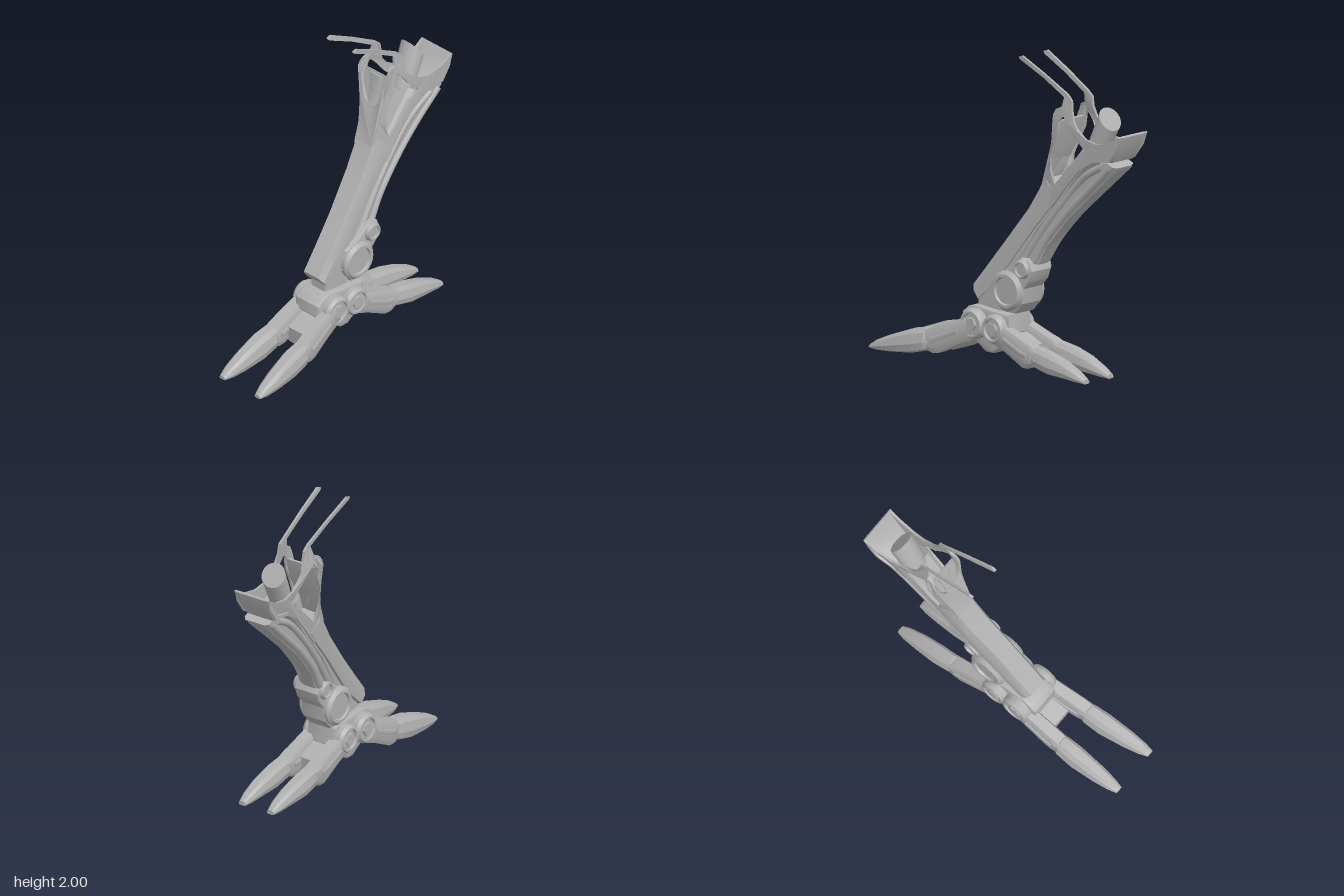
import * as THREE from 'three';
import { toCreasedNormals } from 'three/addons/utils/BufferGeometryUtils.js';

const metal = new THREE.MeshStandardMaterial({ color: 0xb0b0b0, side: THREE.DoubleSide });
metal.name = 'grey metal';

// piecewise linear curve through [t, value] pairs
const curve = (pts) => (t) => {
  if (t <= pts[0][0]) return pts[0][1];
  for (let i = 1; i < pts.length; i++) {
    const [a, va] = pts[i - 1], [b, vb] = pts[i];
    if (t <= b) return va + (vb - va) * (t - a) / (b - a);
  }
  return pts[pts.length - 1][1];
};

// outer sides, front line and front edge inset of the leaning shin, by height
const sideLow = curve([[0.45, -0.1], [0.7, -0.12], [1, -0.16], [1.3, -0.19], [1.5, -0.23], [1.65, -0.25], [1.78, -0.2], [2, -0.23]]);
const sideHigh = curve([[0.45, 0.075], [0.8, 0.045], [1.2, 0.018], [1.5, 0.027], [1.65, 0.025], [1.8, -0.005], [2, 0.015]]);
const frontLine = curve([[1.15, -0.25], [1.26, -0.31], [1.44, -0.365], [1.67, -0.4], [1.73, -0.47]]);
const edgeInset = curve([[1.2, 0.027], [1.5, 0.02], [1.7, 0]]);
// waist of the collar flank, by depth
const waist = curve([[-0.85, 0], [-0.72, 0.012], [-0.58, 0.035], [-0.5, 0.02], [-0.44, 0]]);

const BLOCK = [[0.15, 0], [0.85, 0], [1, 0.2], [1, 0.8], [0.85, 1], [0.15, 1], [0, 0.8], [0, 0.2]];
const SHELL = [[0.14, 0], [0.86, 0], [1, 0.4], [1, 1], [0, 1], [0, 0.4]];
const CLAW = [[0.28, 0], [0.72, 0], [0.9, 0.2], [1, 0.62], [0.92, 0.92], [0.75, 1], [0.25, 1], [0.08, 0.92], [0, 0.62], [0.1, 0.2]];
const ROUND = Array.from({ length: 24 }, (_, i) => {
  const a = i / 24 * Math.PI * 2;
  return [0.5 + Math.cos(a) / 2, 0.5 + Math.sin(a) / 2];
});

// closed loft; each section is [z0, y0, z1, y1, xLow, xHigh]
function loft(sections, ring, crease = 0.5) {
  const pos = [], idx = [], n = ring.length, m = sections.length;
  for (const [z0, y0, z1, y1, xa, xb] of sections)
    for (const [u, v] of ring) pos.push(xa + (xb - xa) * u, y0 + (y1 - y0) * v, z0 + (z1 - z0) * v);
  for (let i = 0; i < m - 1; i++)
    for (let j = 0; j < n; j++) {
      const a = i * n + j, b = i * n + (j + 1) % n;
      idx.push(a, b, b + n, a, b + n, a + n);
    }
  const e = (m - 1) * n;
  for (let j = 1; j < n - 1; j++) idx.push(0, j + 1, j, e, e + j, e + j + 1);
  // turn all faces outward
  const p = (i) => new THREE.Vector3().fromArray(pos, i * 3);
  let volume = 0;
  for (let i = 0; i < idx.length; i += 3) volume += p(idx[i]).dot(p(idx[i + 1]).cross(p(idx[i + 2])));
  if (volume < 0) idx.reverse();
  const g = new THREE.BufferGeometry();
  g.setAttribute('position', new THREE.Float32BufferAttribute(pos, 3));
  g.setIndex(idx);
  return toCreasedNormals(g, crease);
}

// side outline given as [z, y] points, extruded along x
function slab(points, x0, x1, hole, bevel = 0) {
  const v = (list) => list.map(([z, y]) => new THREE.Vector2(-z, y));
  const s = new THREE.Shape(v(points));
  if (hole) s.holes.push(new THREE.Path(v(hole)));
  const g = new THREE.ExtrudeGeometry(s, {
    depth: x1 - x0 - 2 * bevel, bevelEnabled: bevel > 0, bevelSize: bevel, bevelThickness: bevel, bevelOffset: -bevel, bevelSegments: 2,
  });
  return g.rotateY(Math.PI / 2).translate(x0 + bevel, 0, 0);
}

function warp(g, move) {
  const p = g.attributes.position, v = new THREE.Vector3();
  for (let i = 0; i < p.count; i++) {
    move(v.fromBufferAttribute(p, i));
    p.setXYZ(i, v.x, v.y, v.z);
  }
  return toCreasedNormals(g, 0.5);
}

export function createModel() {
  const model = new THREE.Group();
  model.name = 'mechanicalLeg';
  const add = (name, geometry) => {
    const mesh = new THREE.Mesh(geometry, metal);
    mesh.name = name;
    model.add(mesh);
  };
  const leaning = (list, inset) => list.map(([z0, y0, z1, y1]) => {
    const y = (y0 + y1) / 2;
    return [z0, y0, z1, y1, sideLow(y) + inset, sideHigh(y) - inset];
  });

  // shin shell
  add('shin', loft(leaning([
    [0.25, 0.49, 0.19, 0.41], [0.12, 0.65, 0.07, 0.52], [0, 0.8, -0.04, 0.65],
    [-0.18, 1.03, -0.25, 0.92], [-0.26, 1.16, -0.36, 1.05], [-0.305, 1.25, -0.44, 1.16],
  ], 0), SHELL));

  // inner core between shin and calf
  add('core', loft(leaning([
    [0.05, 0.62, -0.1, 0.58], [-0.02, 0.72, -0.14, 0.7], [-0.2, 0.98, -0.28, 0.9], [-0.4, 1.205, -0.47, 1.12],
    [-0.52, 1.36, -0.62, 1.3], [-0.62, 1.48, -0.74, 1.4],
  ], 0.016), BLOCK));

  // pierced side plates with prong, strap and collar flank
  const outline = [
    [-0.27, 1.18], [-0.31, 1.26], [-0.34, 1.35], [-0.365, 1.44], [-0.385, 1.55], [-0.4, 1.67], [-0.42, 1.705], [-0.465, 1.725],
    [-0.475, 1.785], [-0.3, 1.885], [-0.11, 1.975], [-0.1, 1.99], [-0.13, 2], [-0.31, 1.91], [-0.5, 1.805], [-0.54, 1.77],
    [-0.55, 1.7], [-0.57, 1.64], [-0.61, 1.59], [-0.68, 1.545], [-0.76, 1.53], [-0.87, 1.55], [-0.96, 1.6], [-0.94, 1.52],
    [-0.88, 1.43], [-0.74, 1.41], [-0.62, 1.34], [-0.5, 1.21], [-0.38, 1.06],
  ];
  const opening = [
    [-0.41, 1.22], [-0.378, 1.3], [-0.375, 1.38], [-0.41, 1.48], [-0.445, 1.56], [-0.45, 1.63], [-0.48, 1.67],
    [-0.53, 1.615], [-0.58, 1.545], [-0.66, 1.48], [-0.66, 1.46], [-0.58, 1.41], [-0.47, 1.28],
  ];
  const bend = (side, sign, pinch) => (v) => {
    const onEdge = v.y < 1.7 && v.z > frontLine(v.y) - 0.01;
    const flank = v.y > 1.4 && v.y < 1.72 ? pinch * waist(v.z) : 0;
    v.x += side(v.y) + sign * (onEdge ? edgeInset(v.y) : flank);
  };
  add('leftSidePlate', warp(slab(outline, -0.016, 0, opening), bend(sideHigh, -1, 0.3)));
  add('rightSidePlate', warp(slab(outline, 0, 0.016, opening), bend(sideLow, 1, 1)));

  // notched front plate between the prongs
  const heights = [1.2, 1.3, 1.4, 1.5, 1.58, 1.65, 1.71];
  const notch = [
    [-0.2, 1.72], [-0.213, 1.65], [-0.2, 1.56], [-0.165, 1.47], [-0.125, 1.435], [-0.075, 1.435],
    [-0.04, 1.47], [-0.012, 1.56], [-0.003, 1.65], [-0.005, 1.72],
  ];
  const front = [
    ...heights.map((y) => [sideLow(y) + edgeInset(y), y]), ...notch,
    ...heights.map((y) => [sideHigh(y) - edgeInset(y), y]).reverse(),
  ];
  add('frontPlate', warp(
    new THREE.ExtrudeGeometry(new THREE.Shape(front.map(([x, y]) => new THREE.Vector2(x, y))), { depth: 0.02, bevelEnabled: false }),
    (v) => { v.z += frontLine(v.y) - 0.02; }));

  // recessed panel behind the notch, with a raised middle
  add('recessPanel', loft([
    [-0.35, 1.38, -0.368, 1.37, -0.18, -0.01], [-0.403, 1.5, -0.418, 1.495, -0.21, 0.01], [-0.44, 1.635, -0.452, 1.63, -0.225, 0.01],
  ], BLOCK));
  add('recessRidge', loft([
    [-0.35, 1.39, -0.368, 1.38, -0.14, -0.06], [-0.387, 1.5, -0.41, 1.495, -0.14, -0.065], [-0.422, 1.625, -0.445, 1.62, -0.16, -0.055],
  ], BLOCK));

  // collar back wall with flared lip
  add('collarBack', loft([
    [-0.955, 1.605, -0.965, 1.595, -0.24, 0.027], [-0.91, 1.54, -0.935, 1.51, -0.236, 0.025],
    [-0.84, 1.46, -0.88, 1.425, -0.23, 0.022], [-0.72, 1.43, -0.74, 1.405, -0.22, 0.02],
  ], BLOCK, 0.8));

  // inner piston with oblique top
  add('piston', loft([
    [-0.59, 1.46, -0.675, 1.34, -0.185, -0.03], [-0.71, 1.735, -0.8, 1.6, -0.21, -0.035],
  ], ROUND));

  // calf panel and its side rails
  add('calf', loft(leaning([
    [-0.08, 0.62, -0.22, 0.62], [-0.13, 0.72, -0.28, 0.71], [-0.26, 0.92, -0.33, 0.81], [-0.45, 1.15, -0.5, 1.01],
    [-0.62, 1.32, -0.67, 1.165], [-0.79, 1.42, -0.89, 1.365], [-0.83, 1.425, -0.905, 1.39],
  ], 0.022), BLOCK));
  const rails = [
    [[-0.14, 0.67], [-0.31, 0.92], [-0.53, 1.185], [-0.66, 1.31], [-0.79, 1.385]],
    [[-0.24, 0.7], [-0.33, 0.85], [-0.52, 1.07], [-0.68, 1.22], [-0.86, 1.385]],
  ];
  for (const [name, side, inset] of [['leftRail', sideHigh, -0.026], ['rightRail', sideLow, 0.026]])
    for (const rail of rails) {
      const path = new THREE.CatmullRomCurve3(rail.map(([z, y]) => new THREE.Vector3(side(y) + inset, y, z)));
      add(name, new THREE.TubeGeometry(path, 24, 0.024, 8));
    }

  // ankle block, neck, foot hub and the pads between the toes
  add('ankle', toCreasedNormals(slab([
    [0.06, 0.47], [0.03, 0.6], [-0.07, 0.64], [-0.13, 0.69], [-0.18, 0.725], [-0.25, 0.71], [-0.275, 0.65],
    [-0.25, 0.58], [-0.205, 0.53], [-0.19, 0.43], [-0.13, 0.36], [-0.02, 0.36],
  ], -0.105, 0.08, null, 0.015), 0.5));
  add('neck', new THREE.BoxGeometry(0.12, 0.2, 0.2).translate(0, 0.42, 0.1));
  add('hub', toCreasedNormals(slab([
    [0.2, 0.375], [0.05, 0.36], [-0.1, 0.35], [-0.11, 0.23], [-0.03, 0.13], [0.04, 0.085],
    [0.1, 0.085], [0.17, 0.13], [0.27, 0.21], [0.305, 0.25], [0.3, 0.32], [0.26, 0.355],
  ], -0.105, 0.105, null, 0.02), 0.5));
  add('frontPad', loft([
    [0.2, 0.25, 0.2, 0.13, -0.08, 0.09], [0.33, 0.205, 0.31, 0.085, -0.08, 0.1], [0.415, 0.165, 0.4, 0.05, -0.08, 0.11],
  ], BLOCK));
  add('rearPad', loft([
    [-0.04, 0.25, -0.04, 0.13, -0.08, 0.08], [-0.16, 0.205, -0.14, 0.085, -0.08, 0.08], [-0.245, 0.165, -0.23, 0.05, -0.08, 0.08],
  ], BLOCK));

  // stepped joint discs on both sides: z, y, radius, centre x, half width, rim sides
  const joints = [
    ['ankleDisc', -0.07, 0.5, 0.128, -0.015, 0.125, 24], ['ankleSmallDisc', -0.195, 0.655, 0.062, -0.012, 0.118, 16],
    ['frontHubDisc', 0.175, 0.26, 0.1, 0, 0.165, 16], ['rearHubDisc', 0, 0.25, 0.095, 0, 0.157, 16],
  ];
  for (const [name, z, y, r, cx, w, sides] of joints)
    for (const s of [-1, 1]) {
      const profile = [[0, w - 0.016], [r * 0.66, w - 0.016], [r * 0.7, w], [r * 0.84, w], [r, w - 0.022], [r, 0.05], [0, 0.05]];
      const g = new THREE.LatheGeometry(profile.map(([a, b]) => new THREE.Vector2(a, b)).reverse(), sides);
      g.rotateZ(-s * Math.PI / 2).translate(cx, y, z);
      add(name, toCreasedNormals(g, 0.5));
      if (name.includes('Hub')) {
        const bolt = new THREE.CylinderGeometry(r * 0.44, r * 0.44, 0.02, 6);
        add('bolt', toCreasedNormals(bolt.rotateZ(Math.PI / 2).translate(s * (w - 0.01), y, z), 0.5));
      }
    }

  // toes: rows are z, top, bottom, half width; centre x follows z
  const frontLink = [[0.16, 0.32, 0.16, 0.045], [0.27, 0.28, 0.12, 0.05], [0.42, 0.225, 0.045, 0.052], [0.47, 0.205, 0.04, 0.052], [0.53, 0.18, 0.06, 0.05]];
  const frontClaw = [[0.49, 0.17, 0.06, 0.05], [0.52, 0.192, 0.045, 0.065], [0.63, 0.172, 0.018, 0.07], [0.8, 0.11, 0.004, 0.058], [0.9, 0.066, 0, 0.043], [0.96, 0.028, 0.006, 0.026]];
  const rearLink = [[0.01, 0.31, 0.16, 0.045], [-0.1, 0.27, 0.12, 0.05], [-0.25, 0.215, 0.045, 0.052], [-0.3, 0.2, 0.045, 0.052], [-0.36, 0.175, 0.07, 0.05]];
  const rearClaw = [[-0.33, 0.165, 0.08, 0.048], [-0.355, 0.188, 0.06, 0.058], [-0.47, 0.168, 0.035, 0.062], [-0.6, 0.13, 0.028, 0.056], [-0.71, 0.08, 0.018, 0.044], [-0.77, 0.042, 0.014, 0.028]];
  const toes = [
    ['frontLeft', frontLink, frontClaw, curve([[0.16, 0.11], [0.5, 0.165], [0.63, 0.178], [0.96, 0.222]])],
    ['frontRight', frontLink, frontClaw, curve([[0.16, -0.11], [0.63, -0.102], [0.96, -0.088]])],
    ['rearLeft', rearLink, rearClaw, curve([[-0.77, 0.11], [-0.47, 0.11], [0, 0.1]])],
    ['rearRight', rearLink, rearClaw, curve([[-0.77, -0.11], [-0.47, -0.11], [0, -0.1]])],
  ];
  for (const [name, link, claw, cx] of toes) {
    const rows = (list) => list.map(([z, t, b, h]) => [z, t, z, b, cx(z) - h, cx(z) + h]);
    add(name + 'ToeLink', loft(rows(link), BLOCK));
    add(name + 'Claw', loft(rows(claw), CLAW, 0.4));
    // raised strips along the link
    for (const s of [-1, 1])
      add(name + 'ToeStrip', loft(link.slice(1, 4).map(([z, t, b, h]) => {
        const x = cx(z) + s * h, m = t - (t - b) * 0.35;
        return [z, m, z, m - 0.035, x - 0.009, x + 0.009];
      }), BLOCK));
  }
  return model;
}
